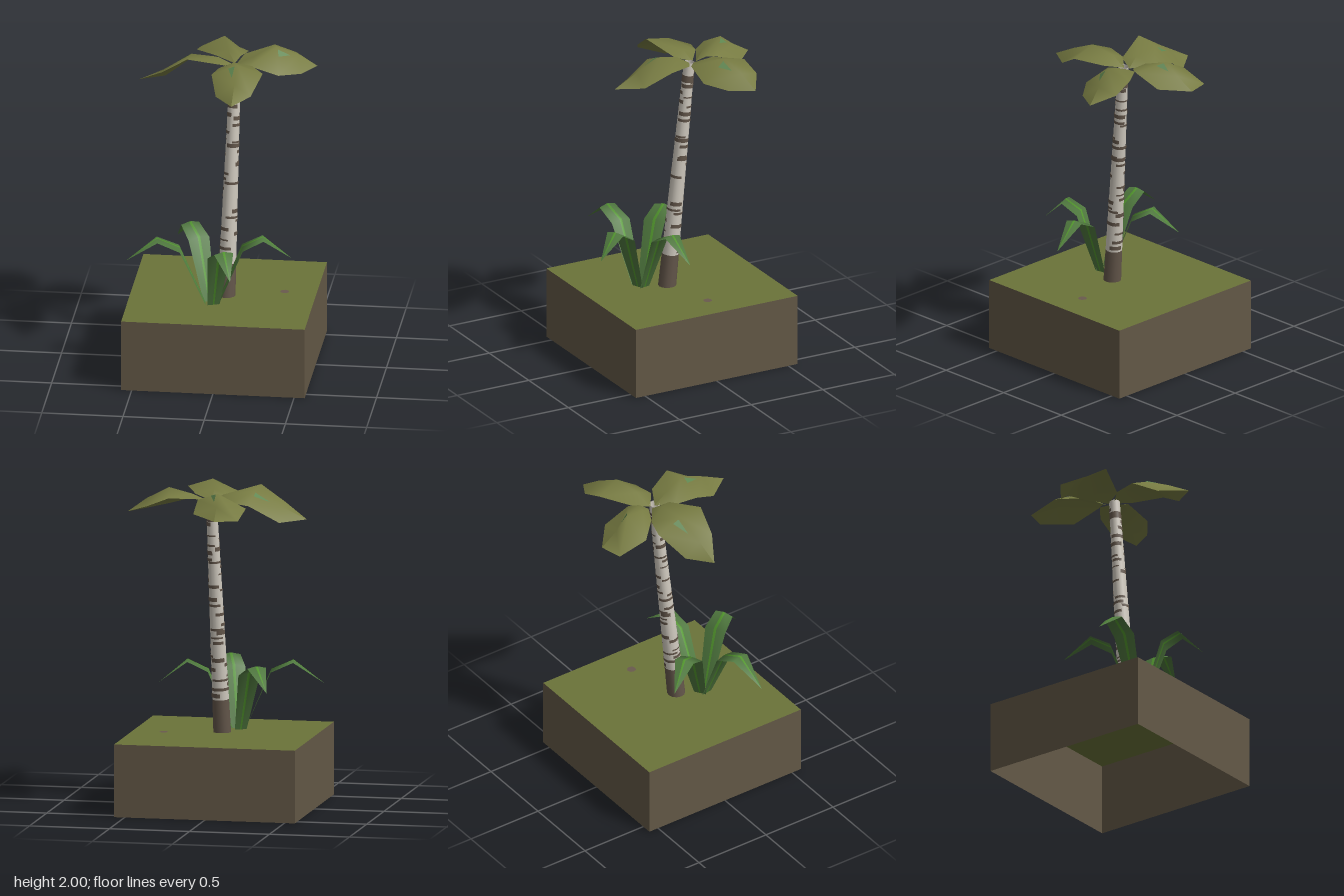
import * as THREE from 'three';

const mat = (name, color) => {
  const m = new THREE.MeshStandardMaterial({ color, side: THREE.DoubleSide });
  m.name = name;
  return m;
};

// Surface through rows of points; columns may use different materials.
function loft(rows, columnMaterials = null) {
  const n = rows[0].length;
  const pts = rows.flat().map((p) => new THREE.Vector3(...p));
  const geo = new THREE.BufferGeometry().setFromPoints(pts);
  const index = [];
  const add = (a, b, c) => {
    if (new THREE.Triangle(pts[a], pts[b], pts[c]).getArea() > 1e-7) index.push(a, b, c);
  };
  for (let c = 0; c < n - 1; c++) {
    const start = index.length;
    for (let r = 0; r < rows.length - 1; r++) {
      const a = r * n + c, d = a + n;
      add(a, d, d + 1);
      add(a, d + 1, a + 1);
    }
    if (columnMaterials) geo.addGroup(start, index.length - start, columnMaterials[c]);
  }
  geo.setIndex(index);
  geo.computeVertexNormals();
  return geo;
}

export function createModel() {
  const soil = mat('soil brown', 0x635846);
  const grass = mat('grass olive', 0x6b7339);
  const palm = mat('palm leaf olive', 0x777b42);
  const streakGreen = mat('leaf streak green', 0x5f8650);
  const bark = mat('pale bark', 0xcfc9be);
  const barkDark = mat('dark bark', 0x63564a);
  const bladeGreen = mat('blade green', 0x50793f);
  const bladeRib = mat('blade rib green', 0x53982e);
  const pebbleMat = mat('pebble brown', 0x6a5a4e);

  const model = new THREE.Group();
  const mesh = (name, geo, material, parent = model) => {
    const m = new THREE.Mesh(geo, material);
    m.name = name;
    parent.add(m);
    return m;
  };

  // Soil block: four walls and a grass top, open underneath
  const S = 1.13, H = 0.45;
  for (let i = 0; i < 4; i++) {
    const wall = new THREE.PlaneGeometry(S, H).translate(0, H / 2, S / 2).rotateY(i * Math.PI / 2);
    mesh('soilWall', wall, soil);
  }
  mesh('grassTop', new THREE.PlaneGeometry(S, S).rotateX(-Math.PI / 2).translate(0, H, 0), grass);
  mesh('pebble', new THREE.CircleGeometry(0.028, 8).rotateX(-Math.PI / 2).translate(0.368, H + 0.003, -0.045), pebbleMat);

  // Leaning trunk
  const foot = new THREE.Vector3(0.02, 0.42, 0.048);
  const crown = new THREE.Vector3(0.06, 1.91, -0.088);
  const length = foot.distanceTo(crown);
  const radius = (t) => THREE.MathUtils.lerp(0.056, 0.033, t);
  const trunk = new THREE.Group();
  trunk.name = 'trunk';
  trunk.position.copy(foot);
  trunk.quaternion.setFromUnitVectors(new THREE.Vector3(0, 1, 0), crown.clone().sub(foot).normalize());
  model.add(trunk);
  const ring = (name, t0, t1, grow, material, start = 0, arc = Math.PI * 2) => {
    const geo = new THREE.CylinderGeometry(radius(t1) + grow, radius(t0) + grow, (t1 - t0) * length,
      Math.max(2, Math.round(arc / (Math.PI * 2) * 12)), 1, true, start, arc);
    mesh(name, geo.translate(0, (t0 + t1) / 2 * length, 0), material, trunk);
  };
  ring('trunkBase', 0, 0.16, 0, barkDark);
  ring('trunkBark', 0.16, 1, 0, bark);

  // Broken dark bands around the bark
  let seed = 7;
  const rand = () => (seed = (seed * 16807) % 2147483647) / 2147483647;
  for (let i = 0; i < 40; i++) {
    const t = 0.17 + 0.79 * (i + rand() * 0.6) / 40;
    ring('barkBand', t, t + 0.006 + rand() * 0.012, 0.0025, barkDark, rand() * 6.28, 1 + rand() * 2.2);
  }
  ring('barkCollar', 0.915, 0.945, 0.002, barkDark);

  // Palm crown: base, three rows of edge / middle / edge, tip, and the streaked side
  const fronds = [
    { name: 'frontFrond', base: [0.055, 1.9, -0.09], tip: [0.1, 1.85, 0.455], side: 0, rows: [
      [[-0.03, 1.92, 0], [0.06, 1.96, 0], [0.17, 1.93, -0.03]],
      [[-0.06, 1.93, 0.14], [0.1, 2, 0.14], [0.255, 1.95, 0.14]],
      [[-0.015, 1.85, 0.3], [0.1, 1.93, 0.3], [0.2, 1.86, 0.3]]] },
    { name: 'leftFrond', base: [0.06, 1.9, -0.12], tip: [0.54, 1.85, -0.285], side: 0, rows: [
      [[0.15, 1.92, -0.05], [0.17, 1.95, -0.14], [0.1, 1.93, -0.23]],
      [[0.33, 1.87, -0.04], [0.3, 1.995, -0.2], [0.27, 1.95, -0.355]],
      [[0.46, 1.85, -0.14], [0.43, 1.93, -0.25], [0.4, 1.9, -0.37]]] },
    { name: 'rightFrond', base: [0.04, 1.9, -0.12], tip: [-0.53, 1.8, -0.055], side: 0, rows: [
      [[-0.09, 1.91, -0.215], [-0.04, 1.95, -0.1], [0, 1.93, -0.02]],
      [[-0.205, 1.9, -0.245], [-0.21, 1.97, -0.09], [-0.22, 1.99, 0.06]],
      [[-0.38, 1.79, -0.165], [-0.38, 1.87, -0.06], [-0.375, 1.89, 0.035]]] },
    { name: 'backFrond', base: [0.05, 1.9, -0.14], tip: [-0.06, 1.85, -0.565], side: 0, rows: [
      [[0.08, 1.93, -0.19], [0, 1.95, -0.22], [-0.08, 1.92, -0.21]],
      [[0.11, 1.93, -0.25], [-0.04, 1.99, -0.36], [-0.21, 1.9, -0.34]],
      [[0.1, 1.87, -0.43], [-0.05, 1.92, -0.45], [-0.2, 1.85, -0.53]]] },
  ];
  for (const { name, base, tip, side, rows } of fronds) {
    mesh(name, loft([[base, base, base], ...rows, [tip, tip, tip]]), palm);
    // Thin streak lying on the frond beside its middle line
    const corners = [rows[1][1], rows[1][side], rows[2][1]];
    const at = (w) => [0, 1, 2].map((k) =>
      corners.reduce((sum, p, j) => sum + p[k] * w[j], k === 1 ? 0.005 : 0));
    const a = at([0.85, 0.1, 0.05]), b = at([0.6, 0.35, 0.05]), c = at([0.25, 0.15, 0.6]);
    mesh('frondStreak', loft([[a, b], [c, c]]), streakGreen);
  }

  // Ground plant: four arching blades, each with a bright rib
  const blades = [
    { name: 'rightBlade', tip: [-0.57, 0.27], scale: 1 },
    { name: 'leftBlade', tip: [0.43, 0.11], scale: 0.95 },
    { name: 'frontBlade', tip: [0.105, 0.555], scale: 1.05 },
    { name: 'backBlade', tip: [-0.31, -0.2], scale: 1.05 },
  ];
  const root = [-0.05, 0.19];
  // distance along the blade, height, half width
  const profile = [[0.07, 0.44, 0.036], [0.38, 0.82, 0.068], [0.64, 0.88, 0.058], [1, 0.735, 0]];
  for (const { name, tip, scale } of blades) {
    const dx = tip[0] - root[0], dz = tip[1] - root[1], len = Math.hypot(dx, dz);
    const rows = profile.map(([d, y, w]) => [-1, -0.13, 0.13, 1].map((s) => [
      root[0] + dx * d + dz / len * w * s * scale,
      y - (Math.abs(s) === 1 && y > 0.8 ? 0.012 : 0),
      root[1] + dz * d - dx / len * w * s * scale]));
    mesh(name, loft(rows, [0, 1, 0]), [bladeGreen, bladeRib]);
  }
  return model;
}
